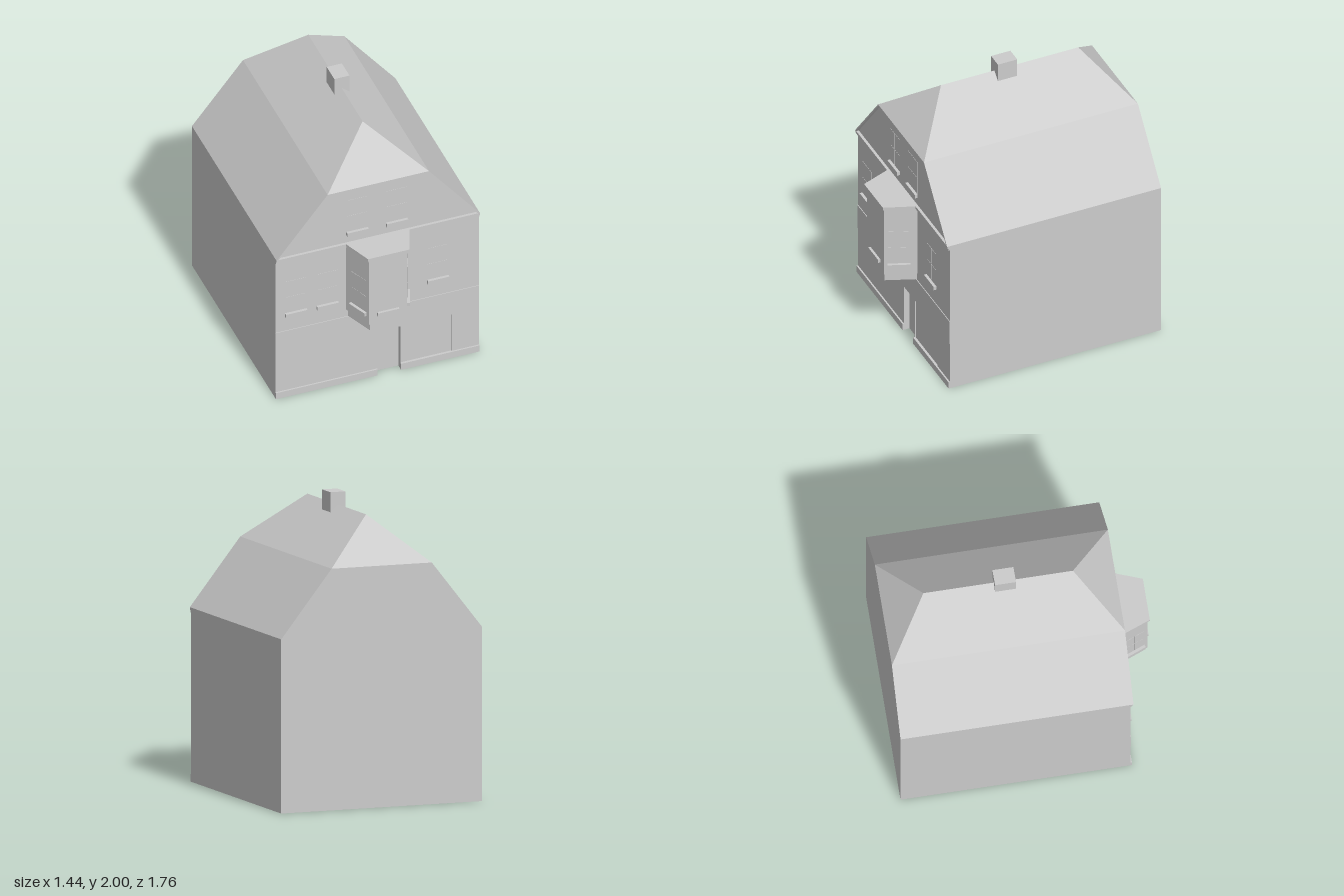
import * as THREE from 'three';

export function createModel() {
  const house = new THREE.Group();
  const plaster = new THREE.MeshStandardMaterial({ color: 0xcccccc });
  plaster.name = 'light grey';

  const add = (name, geometry, parent = house) => {
    const mesh = new THREE.Mesh(geometry, plaster);
    mesh.name = name;
    parent.add(mesh);
    return mesh;
  };
  // box given by its limits
  const box = (name, x0, x1, y0, y1, z0, z1, parent) => add(name,
    new THREE.BoxGeometry(x1 - x0, y1 - y0, z1 - z0)
      .translate((x0 + x1) / 2, (y0 + y1) / 2, (z0 + z1) / 2), parent);
  const shapeOf = (pts) => new THREE.Shape(pts.map(([x, y]) => new THREE.Vector2(x, y)));
  const extrude = (shape, z0, z1) => new THREE.ExtrudeGeometry(shape,
    { depth: z1 - z0, bevelEnabled: false }).translate(0, 0, z0);

  const W = 0.718, K = 0.358, EAVE = 1.16, KNEE = 1.61, RIDGE = 1.915;
  const BACK = -0.877, WALL = 0.656, VERGE = 0.678, DOOR = 0.616;

  // main body: walls and lower roof slopes in one section
  add('body', extrude(shapeOf([[-W, 0], [W, 0], [W, EAVE], [K, KNEE], [-K, KNEE], [-W, EAVE]]), BACK, DOOR));

  // front wall with a door notch and a shop window opening
  const front = shapeOf([[-W, 0], [0, 0], [0, 0.36], [0.165, 0.36], [0.165, 0],
    [W, 0], [W, EAVE], [K, KNEE], [-K, KNEE], [-W, EAVE]]);
  front.holes.push(new THREE.Path([[0.17, 0.05], [0.17, 0.355], [0.525, 0.355], [0.525, 0.05]]
    .map(([x, y]) => new THREE.Vector2(x, y))));
  add('frontWall', extrude(front, DOOR, WALL));
  box('shopWindow', 0.17, 0.525, 0.05, 0.355, DOOR, WALL - 0.006);
  box('wallBand', -W, W, 0.36, 0.545, WALL - 0.01, WALL + 0.005);
  box('plinthLeft', -W, 0, 0, 0.05, DOOR, 0.667);
  box('plinthRight', 0.165, W, 0, 0.05, DOOR, 0.667);

  // roof edge trim around the gable
  add('gableTrim', extrude(shapeOf([[-W, EAVE], [-W + 0.013, EAVE], [-K + 0.006, KNEE - 0.009],
    [K - 0.006, KNEE - 0.009], [W - 0.013, EAVE], [W, EAVE], [K, KNEE], [-K, KNEE]]), WALL, VERGE));

  // stepped cornice
  box('corniceLower', -W, W, 1.125, 1.142, WALL - 0.01, 0.666);
  box('corniceUpper', -W, W, 1.142, EAVE, WALL - 0.01, 0.675);

  // upper roof with a small hip at each end
  const a = [-K, KNEE, VERGE], b = [K, KNEE, VERGE], c = [K, KNEE, BACK], d = [-K, KNEE, BACK];
  const rf = [0, RIDGE, 0.388], rb = [0, RIDGE, -0.61];
  const roof = new THREE.BufferGeometry();
  roof.setAttribute('position', new THREE.Float32BufferAttribute([
    a, b, rf, c, d, rb,
    b, c, rb, b, rb, rf,
    d, a, rf, d, rf, rb,
  ].flat(), 3));
  roof.computeVertexNormals();
  add('upperRoof', roof);
  box('chimney', -0.05, 0.057, 1.8, 2, -0.14, 0);

  // window of four thin panes above a sill, centred on its own origin
  const addWindow = (x, y, z, turn = 0) => {
    const g = new THREE.Group();
    g.name = 'window';
    for (const sx of [-1, 1]) for (const sy of [0, 1]) {
      const cx = sx * 0.037, y0 = 0.003 + sy * 0.13;
      box('pane', cx - 0.035, cx + 0.035, y0, y0 + 0.127, -0.002, 0.002, g);
    }
    box('sill', -0.076, 0.076, -0.027, 0, -0.005, 0.02, g);
    g.position.set(x, y, z);
    g.rotation.y = turn;
    house.add(g);
  };
  for (const x of [-0.575, -0.352, 0.428]) addWindow(x, 0.69, WALL);
  for (const x of [-0.142, 0.137]) addWindow(x, 1.247, WALL);

  // bay window: stacked tapered plans
  const bay = (name, back, frontX, z, y0, y1) => {
    const s = shapeOf([[-back, -0.64], [-frontX, -z], [frontX, -z], [back, -0.64]]);
    const g = extrude(s, y0, y1).rotateX(-Math.PI / 2).translate(-0.003, 0, 0);
    add(name, g);
  };
  bay('bayFoot', 0.208, 0.123, 0.853, 0.545, 0.6);
  bay('bayBody', 0.222, 0.133, 0.863, 0.6, 1.125);
  bay('bayCorniceLower', 0.226, 0.138, 0.868, 1.125, 1.142);
  bay('bayCorniceUpper', 0.236, 0.146, 0.877, 1.142, EAVE);
  addWindow(-0.003, 0.69, 0.86);
  const turn = Math.atan2(0.223, 0.089);
  for (const s of [-1, 1]) addWindow(-0.003 + s * 0.17, 0.69, 0.77, s * turn);

  return house;
}
